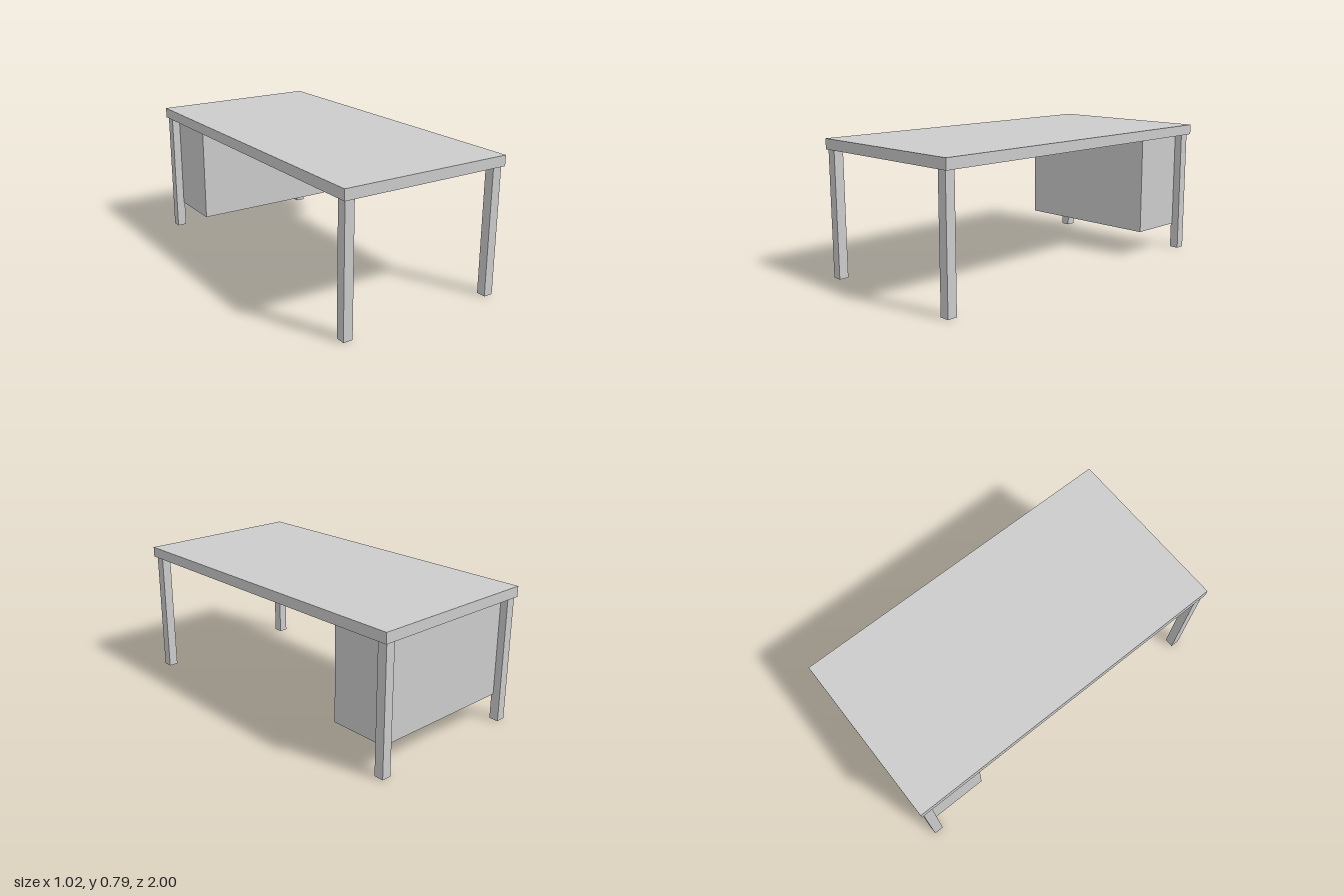
import * as THREE from 'three';

const material = new THREE.MeshStandardMaterial({ color: 0xcccccc });

// Box given by its extents along each axis
function box(name, [x0, x1], [y0, y1], [z0, z1]) {
  const mesh = new THREE.Mesh(new THREE.BoxGeometry(x1 - x0, y1 - y0, z1 - z0), material);
  mesh.position.set((x0 + x1) / 2, (y0 + y1) / 2, (z0 + z1) / 2);
  mesh.name = name;
  return mesh;
}

export function createModel() {
  const desk = new THREE.Group();
  desk.name = 'desk';
  const topHeight = 0.79, underside = 0.73;

  // Table top
  desk.add(box('tableTop', [-0.51, 0.51], [underside, topHeight], [-1, 1]));

  // Four square legs, set in slightly from the edges
  const legX = { Left: [0.437, 0.492], Right: [-0.5, -0.445] };
  const legZ = { front: [0.934, 0.99], back: [-0.986, -0.93] };
  for (const end in legZ) {
    for (const side in legX) {
      desk.add(box(`${end}${side}Leg`, legX[side], [0, underside], legZ[end]));
    }
  }

  // Storage cabinet hung between the back legs
  desk.add(box('cabinet', [-0.452, 0.446], [0.154, underside], [-0.942, -0.59]));

  return desk;
}
